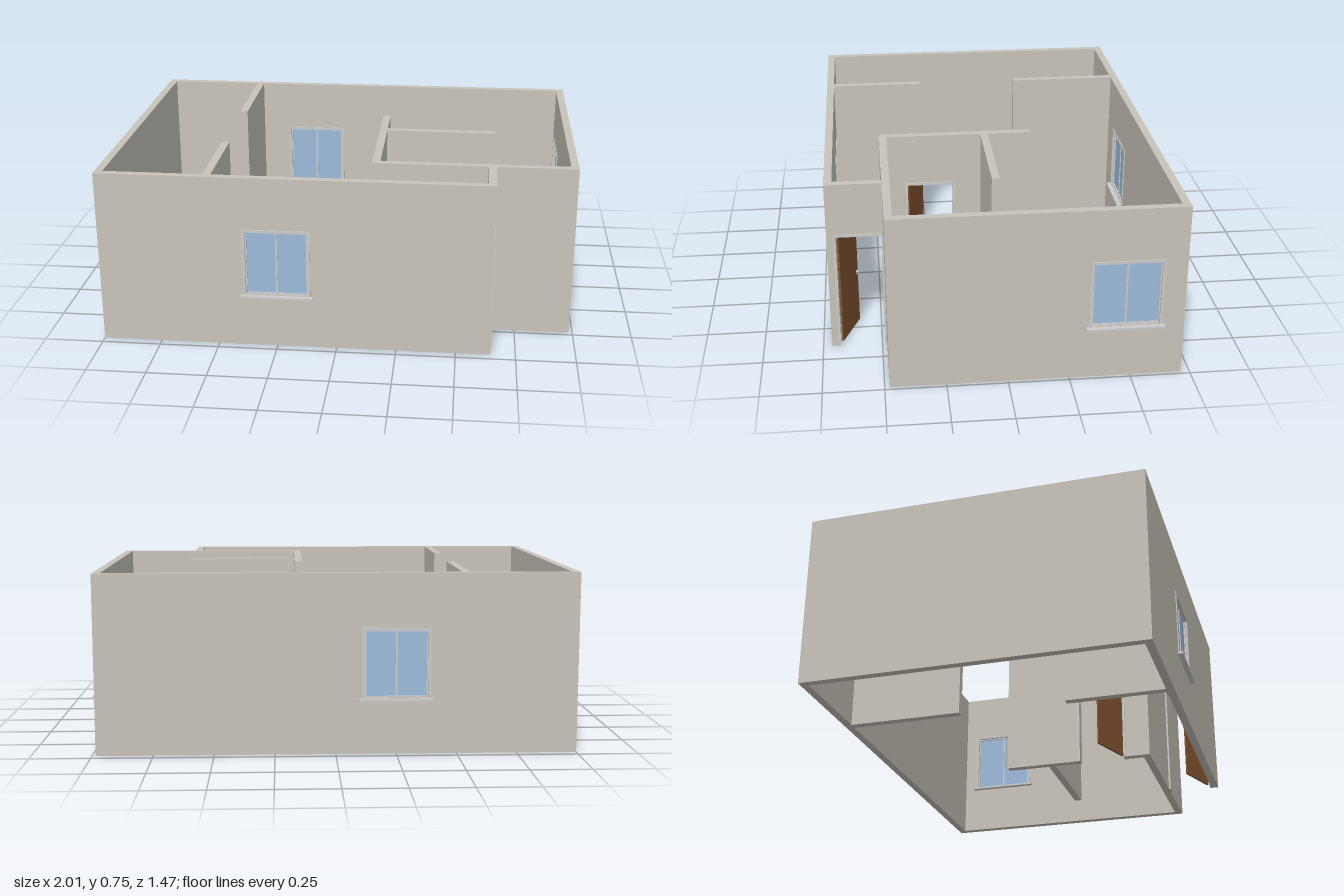
import * as THREE from 'three';

const H = 0.75, T = 0.033;            // wall height and thickness
const SILL = 0.235, HEAD = 0.515;     // opening levels
const paint = (color) => new THREE.MeshStandardMaterial({ color });
const wallMat = paint(0xc9c4ba), frameMat = paint(0xdededb);
const glassMat = paint(0x9dbbdc), woodMat = paint(0x80522f), metalMat = paint(0xcccccc);

function box(parent, name, mat, w, h, d, x, y, z) {
  const m = new THREE.Mesh(new THREE.BoxGeometry(w, h, d), mat);
  m.name = name;
  m.position.set(x, y, z);
  parent.add(m);
  return m;
}

// Local x runs along the wall; axis 'z' turns it so that local x becomes world z
function place(obj, axis, along, across) {
  if (axis === 'x') obj.position.set(along, 0, across);
  else {
    obj.rotation.y = -Math.PI / 2;
    obj.position.set(across, 0, along);
  }
  return obj;
}

// Straight wall from a to b, with door notches and window holes given as [start, end]
function wall(name, axis, a, b, across, { door, win } = {}) {
  const s = new THREE.Shape();
  s.moveTo(a, 0);
  if (door) {
    s.lineTo(door[0], 0);
    s.lineTo(door[0], HEAD);
    s.lineTo(door[1], HEAD);
    s.lineTo(door[1], 0);
  }
  s.lineTo(b, 0);
  s.lineTo(b, H);
  s.lineTo(a, H);
  s.closePath();
  if (win) {
    const p = new THREE.Path();
    p.moveTo(win[0], SILL);
    p.lineTo(win[0], HEAD);
    p.lineTo(win[1], HEAD);
    p.lineTo(win[1], SILL);
    p.closePath();
    s.holes.push(p);
  }
  const geo = new THREE.ExtrudeGeometry(s, { depth: T, bevelEnabled: false });
  geo.translate(0, 0, -T / 2);
  const m = new THREE.Mesh(geo, wallMat);
  m.name = name;
  return place(m, axis, 0, across);
}

// Thin trim on both wall faces around an opening
function trim(g, w, bottom) {
  const t = 0.011, d = 0.004;
  for (const side of [-1, 1]) {
    const z = side * (T / 2 + d / 2), h = HEAD - bottom;
    for (const e of [-1, 1]) box(g, 'sideTrim', frameMat, t, h, d, e * (w + t) / 2, bottom + h / 2, z);
    box(g, 'topTrim', frameMat, w + 2 * t, t, d, 0, HEAD + t / 2, z);
  }
}

function windowUnit(name, axis, along, across, w) {
  const g = new THREE.Group(), h = HEAD - SILL, mid = (HEAD + SILL) / 2;
  g.name = name;
  box(g, 'glass', glassMat, w, h, 0.008, 0, mid, 0);
  box(g, 'mullion', frameMat, 0.008, h, 0.016, 0, mid, 0);
  for (const e of [-1, 1]) {
    box(g, 'frameStile', frameMat, 0.006, h, 0.02, e * (w / 2 - 0.003), mid, 0);
    box(g, 'frameRail', frameMat, w, 0.006, 0.02, 0, mid + e * (h / 2 - 0.003), 0);
    // sill boards inside and outside the wall
    box(g, 'sill', frameMat, w + 0.045, 0.01, 0.022, 0, 0.227, e * (T / 2 + 0.01));
  }
  trim(g, w, SILL);
  return place(g, axis, along, across);
}

function doorUnit(name, axis, [a, b], across) {
  const g = new THREE.Group();
  g.name = name;
  trim(g, b - a, 0);
  return place(g, axis, (a + b) / 2, across);
}

// Open leaf swung about its hinge, with a handle on both faces
function doorLeaf(name, x, z) {
  const g = new THREE.Group(), len = 0.193;
  g.name = name;
  box(g, 'leaf', woodMat, len, HEAD - 0.006, 0.009, len / 2, HEAD / 2, 0);
  for (const s of [-1, 1]) {
    box(g, 'handleStem', metalMat, 0.006, 0.006, 0.012, len - 0.018, 0.25, s * 0.01);
    box(g, 'handleLever', metalMat, 0.026, 0.006, 0.004, len - 0.028, 0.25, s * 0.016);
  }
  g.position.set(x, 0, z);
  g.rotation.y = Math.PI - 0.37;
  return g;
}

export function createModel() {
  const house = new THREE.Group();
  house.name = 'house';
  const xw = -0.25, zw = -0.473, w = 0.26, wr = 0.277;
  const span = (c, width) => [c - width / 2, c + width / 2];
  const back = -0.6965, front = 0.6965, left = 0.9685, right = -0.9835, recess = 0.4635;
  const entry = [0.488, 0.675], inner = [0.156, 0.358];

  house.add(
    // outer walls
    wall('backWall', 'x', -1, 0.985, back, { win: span(xw, w) }),
    wall('frontWall', 'x', -1, 0.645, front, { win: span(xw, w) }),
    wall('rightWall', 'z', -0.68, 0.68, right),
    wall('leftWall', 'z', -0.68, 0.447, left, { win: span(zw, wr) }),
    wall('recessWall', 'x', 0.127, 0.985, recess),
    wall('entryWall', 'z', 0.48, 0.68, 0.6285, { door: entry }),
    // partitions
    wall('hallPartition', 'z', -0.19, 0.447, 0.1435, { door: inner }),
    wall('roomPartition', 'x', 0.16, 0.645, 0.0165),
    wall('backPartition', 'z', -0.68, -0.195, -0.5335),
    wall('frontPartition', 'z', 0.262, 0.68, -0.5335),
    // windows
    windowUnit('backWindow', 'x', xw, back, w),
    windowUnit('frontWindow', 'x', xw, front, w),
    windowUnit('sideWindow', 'z', zw, left, wr),
    // doors
    doorUnit('entryDoorFrame', 'z', entry, 0.6285),
    doorUnit('innerDoorFrame', 'z', inner, 0.1435),
    doorLeaf('entryDoor', 0.61, 0.668),
    doorLeaf('innerDoor', 0.125, 0.355),
  );
  return house;
}
